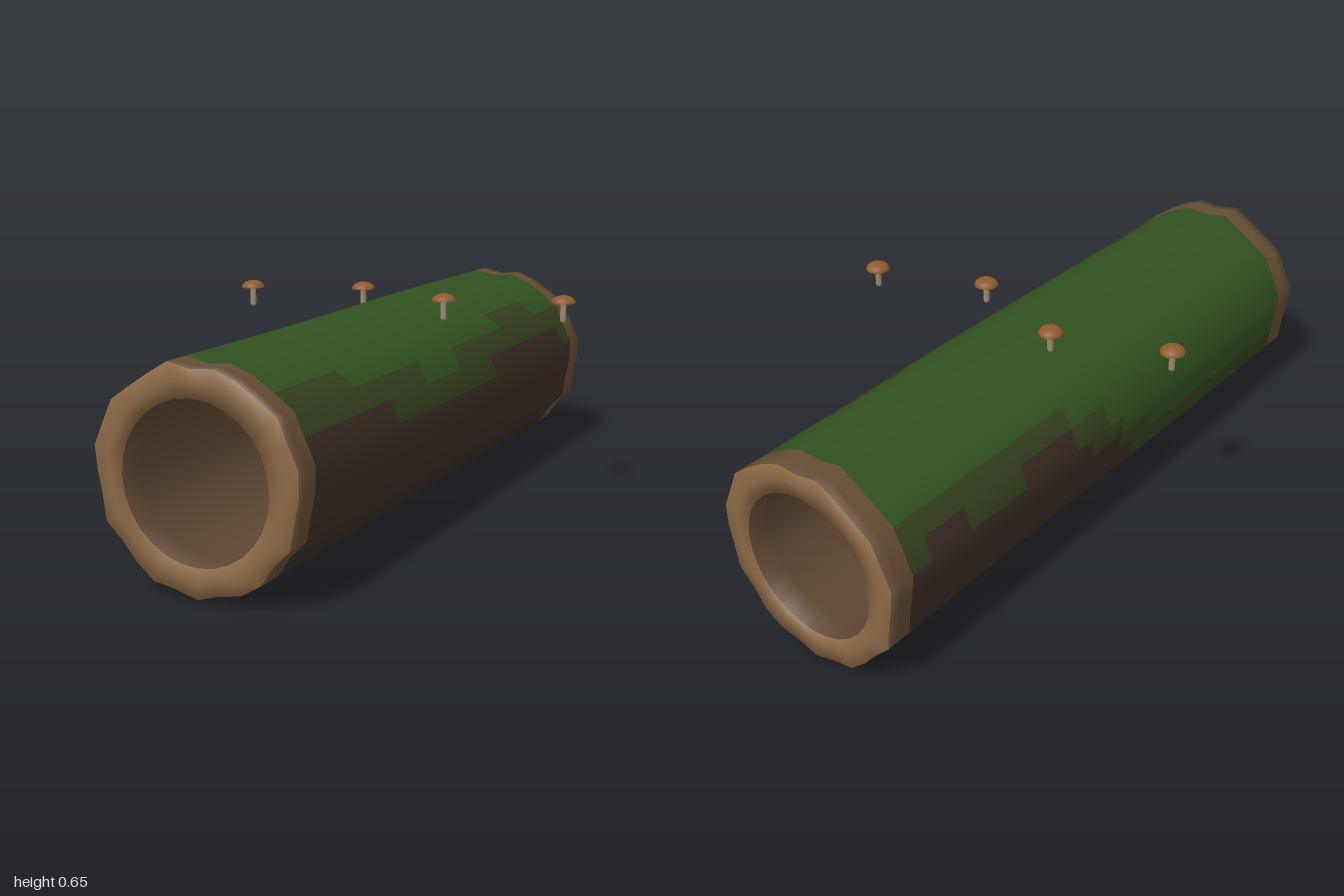
import * as THREE from 'three';

const mat = (color) => new THREE.MeshStandardMaterial({ color });

// Bark ridge radii, counter-clockwise from +x
const RIDGES = [
  0.296, 0.304, 0.297, 0.307, 0.296, 0.296, 0.299, 0.286, 0.307, 0.293, 0.292, 0.304, 0.297, 0.304,
  0.290, 0.286, 0.301, 0.285, 0.291, 0.301, 0.289, 0.300, 0.288, 0.298, 0.299, 0.286, 0.301, 0.290,
];
const SIDES = RIDGES.length;
const CX = -0.05, CY = 0.31, INNER = 0.215;

function createLog() {
  const log = new THREE.Group();
  log.name = 'hollowLog';

  // Rings run down the outside, round the back rim, up the bore and round the front rim
  const rings = [];
  const outerZ = [1, 0.97, 0.92];
  for (let i = 1; i < 24; i++) outerZ.push(0.92 - (1.84 * i) / 24);
  outerZ.push(-0.92, -0.97, -1);
  outerZ.forEach((z) => rings.push({ z, t: 1 }));
  const backRim = rings.length - 1;
  rings.push({ z: -1, t: 0.5 });
  const bore = rings.length;
  [-1, -0.93, -0.5, 0, 0.5, 0.93, 1].forEach((z) => rings.push({ z, t: 0 }));
  const frontRim = rings.length - 1;
  rings.push({ z: 1, t: 0.5 });

  const positions = [];
  for (const { z, t } of rings) {
    for (let k = 0; k < SIDES; k++) {
      const a = (k / SIDES) * Math.PI * 2;
      const wave = 0.004 * Math.sin(2.4 * z + 0.6 + 2 * Math.sin(a)) * Math.sin(Math.PI * (z + 1) / 2 + 0.4);
      const r = INNER + (RIDGES[k] + wave - INNER) * t;
      positions.push(CX + r * Math.cos(a), CY + r * Math.sin(a), z);
    }
  }

  // Moss covers the top and creeps down the right side toward the front
  function barkPart(z, a) {
    if (Math.abs(z) > 0.92) return 'endBark';
    const rightSide = Math.max(0, -Math.cos(a));
    const creep = THREE.MathUtils.smoothstep(z, -0.35, 0.4);
    const patch = 0.12 * Math.sin(5 * z + 1) + 0.2 * Math.exp(-Math.pow((z + 0.55) / 0.12, 2)) * rightSide;
    const moss = Math.sin(a) + 0.9 * creep * rightSide + patch;
    return moss > 0.62 ? 'moss' : moss > 0.32 ? 'thinMoss' : 'bark';
  }

  const parts = {
    moss: { color: 0x315220, index: [] },
    thinMoss: { color: 0x36411f, index: [] },
    bark: { color: 0x3b2d25, index: [] },
    endBark: { color: 0x654c34, index: [] },
    rim: { color: 0x8a6845, index: [] },
    bore: { color: 0x5e4632, index: [] },
  };
  const all = [];
  rings.forEach((ring, i) => {
    const next = (i + 1) % rings.length;
    for (let k = 0; k < SIDES; k++) {
      const k2 = (k + 1) % SIDES;
      const a = i * SIDES + k, b = next * SIDES + k, c = next * SIDES + k2, d = i * SIDES + k2;
      const quad = [a, b, c, a, c, d];
      const angle = ((k + 0.5) / SIDES) * Math.PI * 2;
      let part = 'rim';
      if (i < backRim) part = barkPart((ring.z + rings[next].z) / 2, angle);
      else if (i >= bore && i < frontRim) part = 'bore';
      parts[part].index.push(...quad);
      all.push(...quad);
    }
  });

  // Normals are shared so shading flows across every part
  const whole = new THREE.BufferGeometry();
  whole.setAttribute('position', new THREE.Float32BufferAttribute(positions, 3));
  whole.setIndex(all);
  whole.computeVertexNormals();
  for (const [name, { color, index }] of Object.entries(parts)) {
    const geometry = new THREE.BufferGeometry();
    geometry.setAttribute('position', whole.attributes.position);
    geometry.setAttribute('normal', whole.attributes.normal);
    geometry.setIndex(index);
    const mesh = new THREE.Mesh(geometry, mat(color));
    mesh.name = name;
    log.add(mesh);
  }
  return log;
}

function createMushroom(x, z) {
  const mushroom = new THREE.Group();
  mushroom.name = 'mushroom';

  // Domed cap
  const cap = new THREE.Mesh(
    new THREE.SphereGeometry(0.036, 16, 6, 0, Math.PI * 2, 0, Math.PI / 2).scale(1, 0.62, 1), mat(0x8f5a2c));
  cap.name = 'cap';
  cap.position.y = 0.641;

  // Pale underside
  const gills = new THREE.Mesh(new THREE.CircleGeometry(0.036, 16).rotateX(Math.PI / 2), mat(0x9a8a72));
  gills.name = 'gills';
  gills.position.y = 0.641;

  // Stem with a rounded foot
  const stem = new THREE.Mesh(new THREE.CapsuleGeometry(0.009, 0.046, 3, 10), mat(0x9a8a72));
  stem.name = 'stem';
  stem.position.y = 0.613;

  mushroom.add(cap, gills, stem);
  mushroom.position.set(x, 0, z);
  return mushroom;
}

export function createModel() {
  const model = new THREE.Group();
  model.name = 'mossyLogWithMushrooms';
  model.add(createLog());
  // Row of mushrooms, staggered front and back
  for (let i = 0; i < 4; i++) model.add(createMushroom(-0.495 + 0.33 * i, i % 2 ? -0.12 : 0));
  return model;
}
